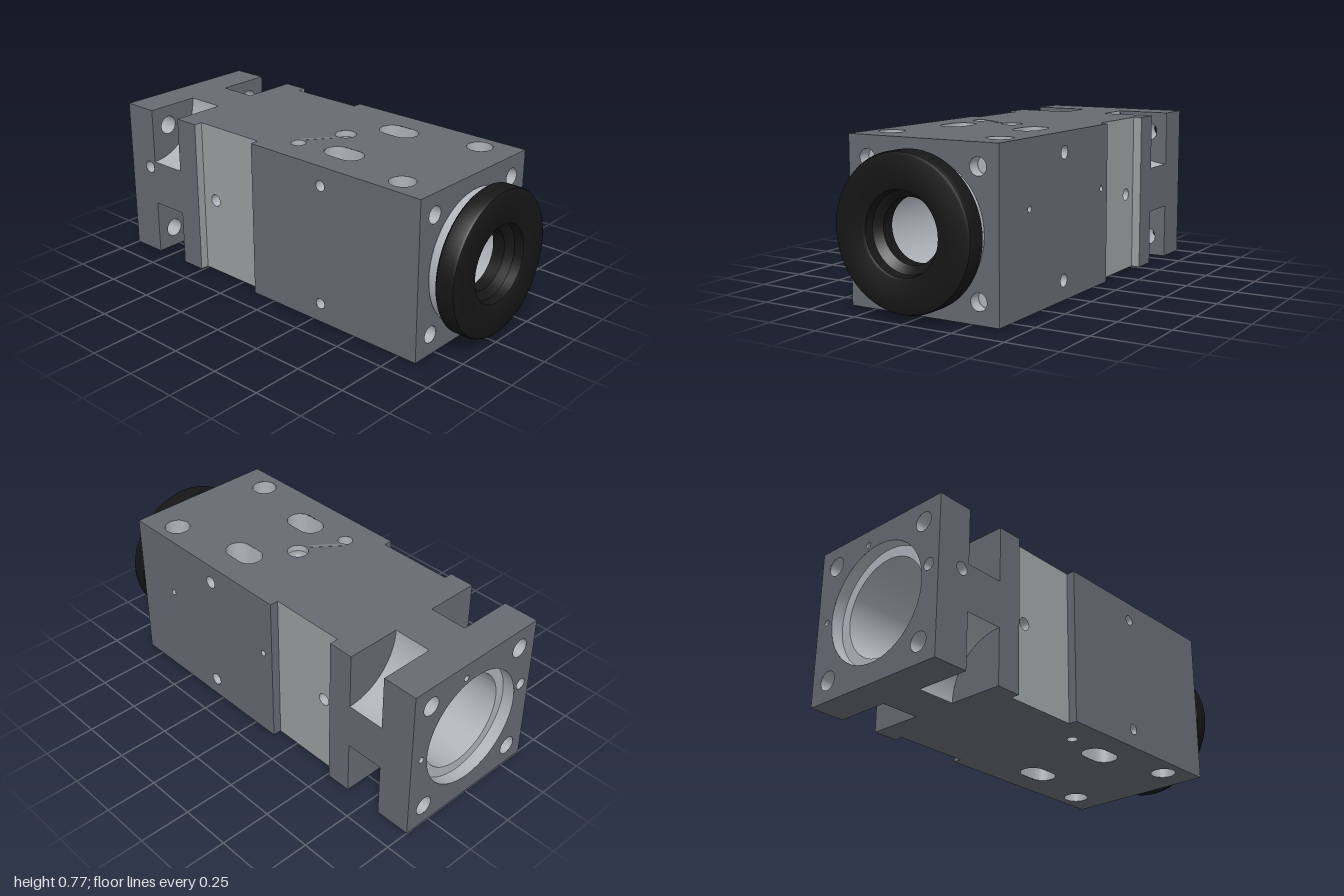
import * as THREE from 'three';
import { toCreasedNormals } from 'three/addons/utils/BufferGeometryUtils.js';

const H = 0.3825;                 // half of the square section
const N0 = -0.825, N1 = -0.635;   // corner notches along x
const S0 = -0.51, S1 = -0.13;     // side recess along x
const END = 0.845, NR = 0.27, STEP = 0.34, BORE = 0.235;
const Q = Math.PI / 2;

const mat = (color, side = THREE.FrontSide) =>
  new THREE.MeshStandardMaterial({ color, side, roughness: 0.7 });
const BODY = 0x666a72, LIGHT = 0x9aa0a1, METAL = 0xb0b4bb, BLACK = 0x161616;

function add(parent, name, geometry, material) {
  const m = new THREE.Mesh(geometry, material);
  m.name = name;
  parent.add(m);
  return m;
}

// Stretch a round geometry along x into a stadium
function stretch(geo, len) {
  const p = geo.attributes.position;
  if (len) for (let i = 0; i < p.count; i++) p.setX(i, p.getX(i) + (p.getX(i) > 0 ? len : -len) / 2);
  return geo;
}

// Flat plate facing +z with sunk holes: { u, v, r, depth, len, floor, core, coreColor }
function plate(parent, name, pts, holes = [], color = BODY) {
  const g = new THREE.Group();
  g.name = name;
  const shape = new THREE.Shape(pts.map(([u, v]) => new THREE.Vector2(u, v)));
  for (const { u, v, r, depth = 0, len = 0, floor = LIGHT, core, coreColor = BLACK } of holes) {
    const path = new THREE.Path();
    path.absarc(u + len / 2, v, r, Q, -Q, true);
    path.absarc(u - len / 2, v, r, -Q, -3 * Q, true);
    shape.holes.push(path);
    if (!depth) continue;
    const wall = new THREE.CylinderGeometry(r, r, depth, 32, 1, true).rotateX(Q);
    add(g, 'holeWall', stretch(wall, len), mat(METAL, THREE.BackSide)).position.set(u, v, -depth / 2);
    if (floor !== null) add(g, 'holeFloor', new THREE.CircleGeometry(r, 32), mat(floor)).position.set(u, v, -depth);
    if (core) add(g, 'holeCore', new THREE.CircleGeometry(core, 32), mat(coreColor)).position.set(u, v, 0.002 - depth);
  }
  add(g, name + 'Face', new THREE.ShapeGeometry(shape, 24), mat(color));
  parent.add(g);
  return g;
}

// Complete an outline from its lower half
const mirrored = (low) => [...low, ...low.map(([u, v]) => [u, -v]).reverse()];
const rect = (a, b, c = -H, d = H) => [[a, c], [b, c], [b, d], [a, d]];

// Surface of revolution about the x axis, points are [radius, x]
function turned(parent, name, pts, color, start = 0, length = Math.PI * 2) {
  const geo = new THREE.LatheGeometry(pts.map(([r, x]) => new THREE.Vector2(r, x)), 72, start, length);
  geo.rotateZ(-Q);
  return add(parent, name, toCreasedNormals(geo, 0.6), mat(color, THREE.DoubleSide));
}

export function createModel() {
  const root = new THREE.Group();
  root.name = 'cameraBlock';
  const body = new THREE.Group();
  body.name = 'body';
  body.position.y = H;
  root.add(body);

  const notched = [[-1, -H], [N0, -H], [N0, NR - H], [N1, NR - H], [N1, -H], [S0, -H]];

  // Top and bottom skins, with slots and sunk holes
  const slots = [-1, 1].map((s) => ({ u: 0.27, v: s * 0.195, r: 0.0625, len: 0.075, depth: 0.2, floor: null }));
  const bolts = [-1, 1].map((s) => ({ u: 0.67, v: s * 0.28, r: 0.06, depth: 0.08, core: 0.045 }));
  const deck = mirrored([...notched, [S0, -STEP], [S1, -STEP], [S1, -H], [END, -H]]);
  for (const s of [1, -1]) {
    const g = new THREE.Group();
    g.name = s > 0 ? 'topSide' : 'bottomSide';
    g.scale.y = s;
    body.add(g);
    const pin = { u: 0.025, v: -0.23, r: s > 0 ? 0.035 : 0.025, depth: 0.1, floor: BLACK };
    const dimple = { u: 0.11, v: 0, r: 0.05, depth: 0.03, core: 0.02, coreColor: METAL };
    const p = plate(g, s > 0 ? 'topSkin' : 'bottomSkin', deck, [...slots, ...bolts, pin, ...(s > 0 ? [dimple] : [])]);
    p.rotation.x = -Q;
    p.position.y = H;
  }
  // Thin scribed line beside the dimple
  const line = add(body, 'scribedLine', new THREE.BoxGeometry(0.165, 0.002, 0.018), mat(0x7c8087));
  line.position.set(0.05, H, 0.135);
  line.rotation.y = Math.atan2(0.13, 0.1);

  // Front and back skins, with the pale recessed panel between them
  for (const s of [1, -1]) {
    const g = new THREE.Group();
    g.name = s > 0 ? 'frontSide' : 'backSide';
    g.scale.z = s;
    body.add(g);
    const small = { u: -0.865, v: 0.075, r: 0.03, depth: 0.05 };
    plate(g, 'rearBlockSkin', mirrored(notched), s > 0 ? [small] : []).position.z = H;
    plate(g, 'recessedPanel', rect(S0, S1), [{ u: -0.43, v: 0, r: 0.03, depth: 0.05 }], LIGHT).position.z = STEP;
    const side = [-1, 1].map((k) => ({ u: 0.295, v: k * 0.29, r: s > 0 ? 0.025 : 0.03, depth: 0.1, floor: 0xffffff }));
    if (s < 0) side.push({ u: 0.6, v: 0.08, r: 0.014, depth: 0.04 }, { u: -0.07, v: 0.08, r: 0.014, depth: 0.04 });
    plate(g, 'mainBlockSkin', rect(S1, END), side).position.z = H;
    for (const [x, dir, c] of [[S0, 1, LIGHT], [S1, -1, BODY]]) {
      const w = plate(g, 'recessWall', rect(-(H - STEP) / 2, (H - STEP) / 2), [], c);
      w.position.set(x, 0, (H + STEP) / 2);
      w.rotation.y = dir * Q;
    }
  }

  // End faces
  const corners = [[1, 1], [1, -1], [-1, 1], [-1, -1]];
  const near = plate(body, 'frontEnd', rect(-H, H), [
    { u: 0, v: 0, r: BORE },
    ...corners.map(([a, b]) => ({ u: a * 0.2825, v: b * 0.2825, r: 0.04, depth: 0.06, core: 0.033, coreColor: METAL })),
  ]);
  near.position.x = END;
  near.rotation.y = Q;
  const far = plate(body, 'rearEnd', rect(-H, H), [
    { u: 0, v: 0, r: 0.285 },
    ...corners.map(([a, b]) => ({ u: a * 0.2825, v: b * 0.2825, r: 0.045 })),
    { u: 0.325, v: 0.06, r: 0.028, depth: 0.05 },
    { u: -0.07, v: 0.31, r: 0.014, depth: 0.04 },
    { u: -0.32, v: 0.01, r: 0.014, depth: 0.04 },
  ]);
  far.position.x = -1;
  far.rotation.y = -Q;

  // Concave corner notches with bolt holes through to the rear end
  const arc = (s) => {
    const pts = [[s * H, H]];
    for (let i = 0; i <= 16; i++) {
      const a = (i / 16) * Q;
      pts.push([s * (H - NR * Math.cos(a)), H - NR * Math.sin(a)]);
    }
    return pts;
  };
  for (const [sy, sz] of corners) {
    const g = new THREE.Group();
    g.name = 'cornerNotch';
    g.scale.set(1, sy, sz);
    body.add(g);
    const floor = new THREE.CylinderGeometry(NR, NR, N1 - N0, 24, 1, true, Q, Q).rotateZ(-Q);
    add(g, 'notchFloor', floor, mat(METAL, THREE.DoubleSide)).position.set((N0 + N1) / 2, H, H);
    const a = plate(g, 'notchWall', arc(-1), [{ u: -0.2825, v: 0.2825, r: 0.045, depth: 1 + N0, floor: null }]);
    a.position.x = N0;
    a.rotation.y = Q;
    const b = plate(g, 'notchWall', arc(1));
    b.position.x = N1;
    b.rotation.y = -Q;
  }

  // Stepped bore, opened where the slots cross it
  const C = 0.27, c0 = 0.16, c1 = 0.38;
  turned(body, 'rearBore', [[0.285, -1], [0.285, -0.94], [BORE, -0.94], [BORE, c0], [C, c0]], METAL);
  turned(body, 'frontBore', [[C, c1], [BORE, c1], [BORE, END]], METAL);
  const strips = [[Q, Math.asin(0.13 / C)], [3 * Q, Math.asin(0.13 / C)], [0, Math.acos(0.26 / C)], [2 * Q, Math.acos(0.26 / C)]];
  for (const [mid, half] of strips) turned(body, 'chamberStrip', [[C, c0], [C, c1]], METAL, mid - half, 2 * half);

  // Pale collar and black end ring
  turned(body, 'collar', [[BORE, END], [0.31, END], [0.315, 0.85], [0.315, 0.895], [0.3, 0.91]], METAL);
  turned(body, 'endRing', [
    [0.145, 0.86], [0.22, 0.86], [0.22, 0.9], [0.335, 0.9], [0.345, 0.91], [0.345, 0.982], [0.34, 0.994],
    [0.328, 1], [0.195, 1], [0.185, 0.994], [0.18, 0.95], [0.145, 0.92], [0.145, 0.86],
  ], BLACK);
  return root;
}
